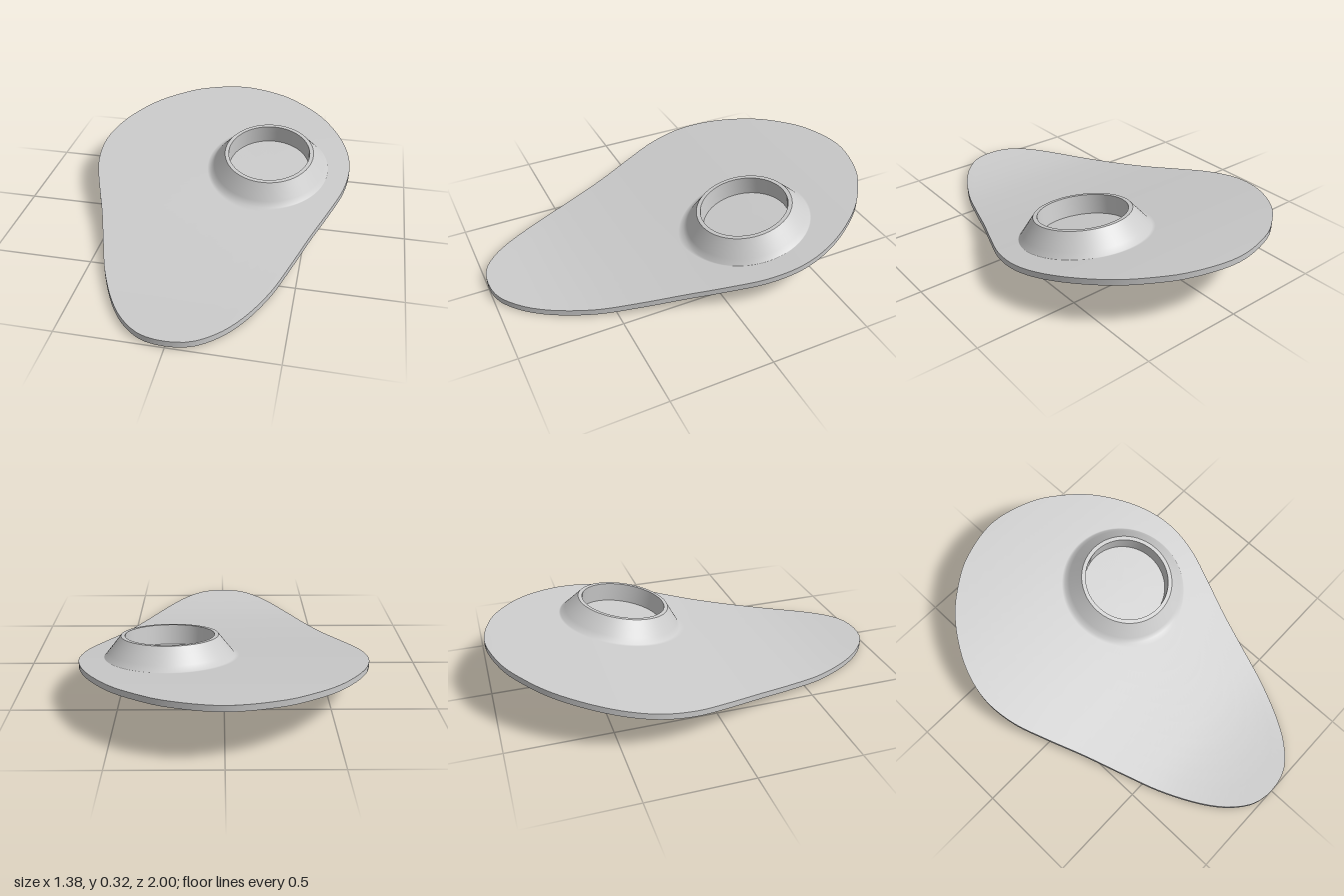
import * as THREE from 'three';

const T = 0.03;                                  // sheet thickness
const CX = 0.26, CZ = -0.275, BASE = 0.315;      // raised collar position and base radius

// Height of the plate's upper surface along z, knots every 0.2 from z = 1.2 to z = -1.2
const heights = [0.052, 0.041, 0.033, 0.039, 0.062, 0.093, 0.13, 0.169, 0.207, 0.243, 0.275, 0.303, 0.322];
const spine = new THREE.SplineCurve(heights.map((y, i) => new THREE.Vector2(1.2 - i * 0.2, y)));
const heightAt = z => spine.getPoint((1.2 - z) / 2.4).y;

// Teardrop outline as [half width, z]
const half = [[0.24, -0.945], [0.36, -0.875], [0.49, -0.765], [0.61, -0.595], [0.67, -0.45], [0.69, -0.32],
  [0.67, -0.16], [0.61, 0.01], [0.535, 0.2], [0.465, 0.4], [0.392, 0.6], [0.29, 0.8], [0.205, 0.91], [0.11, 0.98]];
const side = s => half.map(([x, z]) => new THREE.Vector3(s * x, 0, z));
const outline = new THREE.CatmullRomCurve3([
  new THREE.Vector3(0, 0, -1), ...side(1), new THREE.Vector3(0, 0, 1), ...side(-1).reverse(),
], true).getSpacedPoints(120).slice(0, 120);

// Point on one spoke: r = collar radius, h = offset along the plate normal, t = share of the way to the outline
function point(edge, [r, h, t = 0]) {
  const angle = Math.atan2(edge.z - CZ, edge.x - CX);
  const x = THREE.MathUtils.lerp(CX + r * Math.cos(angle), edge.x, t);
  const z = THREE.MathUtils.lerp(CZ + r * Math.sin(angle), edge.z, t);
  const slope = (heightAt(z + 0.01) - heightAt(z - 0.01)) / 0.02;
  const k = h / Math.hypot(1, slope);
  // the outer edge keeps its plan shape
  return [x, heightAt(z) + k, z - k * slope * (1 - t)];
}

// Closed band through a list of rings, smooth inside the band
function band(name, rings) {
  const n = outline.length, pos = [], index = [];
  for (const ring of rings) for (const edge of outline) pos.push(...point(edge, ring));
  for (let i = 0; i < rings.length - 1; i++) {
    for (let j = 0; j < n; j++) {
      const a = i * n + j, d = i * n + (j + 1) % n, b = a + n, c = d + n;
      index.push(a, c, b, a, d, c);
    }
  }
  const geo = new THREE.BufferGeometry();
  geo.setAttribute('position', new THREE.Float32BufferAttribute(pos, 3));
  geo.setIndex(index);
  geo.computeVertexNormals();
  const mesh = new THREE.Mesh(geo, new THREE.MeshStandardMaterial({ color: 0xcccccc }));
  mesh.name = name;
  return mesh;
}

export function createModel() {
  const group = new THREE.Group();
  group.name = 'teardropPlate';
  const steps = [0.03, 0.1, 0.2, 0.3, 0.4, 0.5, 0.6, 0.7, 0.8, 0.9, 1];
  const spread = h => steps.map(t => [BASE, h, t]);

  group.add(
    // sunken well inside the collar
    band('wellFloor', [[0.001, 0], [0.1, 0], [0.215, 0]]),
    band('wellWall', [[0.215, 0], [0.215, 0.1]]),
    band('collarRim', [[0.215, 0.1], [0.235, 0.1]]),
    // sloping collar flowing into the plate
    band('upperSurface', [[0.235, 0.1], [0.262, 0.066], [0.295, 0.025], [BASE, 0], ...spread(0)]),
    band('plateEdge', [[BASE, 0, 1], [BASE, -T, 1]]),
    // underside, rising into a groove beneath the collar
    band('lowerSurface', [...spread(-T).reverse(), [0.303, -T], [0.285, -0.005], [0.243, 0.05]]),
    band('wellOuterWall', [[0.243, 0.05], [0.243, -T]]),
    band('wellUnderside', [[0.243, -T], [0.12, -T], [0.001, -T]]),
  );
  return group;
}
